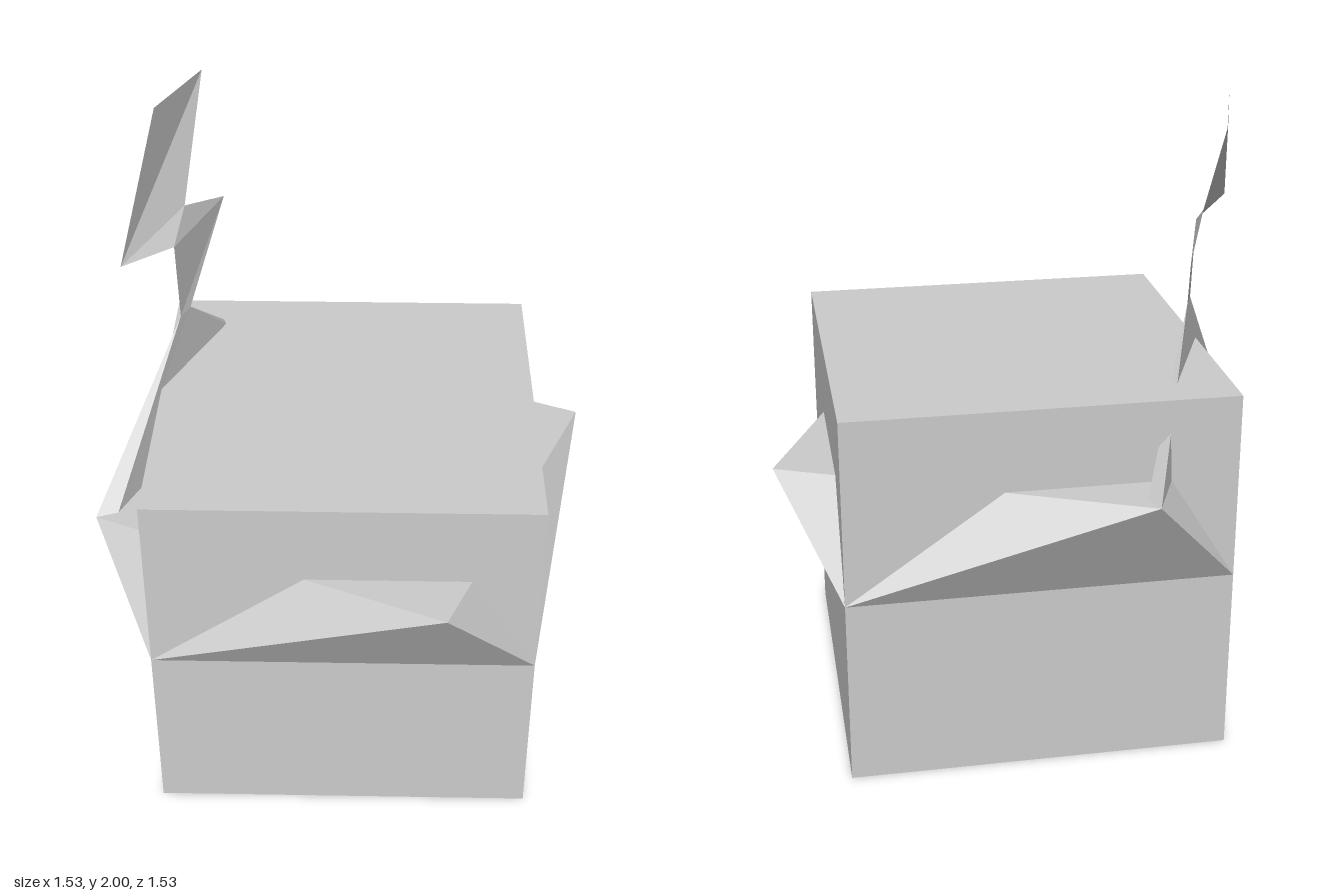
import * as THREE from 'three';

const solidMat = new THREE.MeshStandardMaterial({ color: 0xcccccc, flatShading: true });
const sheetMat = new THREE.MeshStandardMaterial({ color: 0xcccccc, flatShading: true, side: THREE.DoubleSide });

// Faces are lists of corner points, counter-clockwise from outside
function facetMesh(name, faces) {
  const pos = [];
  for (const f of faces)
    for (let i = 1; i < f.length - 1; i++) pos.push(...f[0], ...f[i], ...f[i + 1]);
  const geo = new THREE.BufferGeometry();
  geo.setAttribute('position', new THREE.Float32BufferAttribute(pos, 3));
  geo.computeVertexNormals();
  const mesh = new THREE.Mesh(geo, sheetMat);
  mesh.name = name;
  return mesh;
}

// Quarter turns about the vertical axis: front, right, back, left
function quarterTurns([x, y, z]) {
  return [[x, y, z], [z, y, -x], [-x, y, -z], [-z, y, x]];
}

export function createModel() {
  const group = new THREE.Group();
  const size = 1.17;

  // Cube body
  const body = new THREE.Mesh(new THREE.BoxGeometry(size, size, size), solidMat);
  body.name = 'body';
  body.position.y = size / 2;
  group.add(body);

  // Twisted collar flaring out of the body's middle, with a flat top
  const low = quarterTurns([-size / 2, 0.588, size / 2]);
  const high = quarterTurns([0.303, 0.918, 0.765]);
  const faces = [high];
  for (let i = 0; i < 4; i++) {
    const next = (i + 1) % 4, prev = (i + 3) % 4;
    faces.push([low[i], low[next], high[i]], [low[i], high[i], high[prev]]);
  }
  group.add(facetMesh('twistedCollar', faces));

  // Tail root: a wedge from one collar edge up to a narrow neck
  const [, , backTip, leftTip] = high;
  const backIn = [-0.28, 0.918, -0.70], leftIn = [-0.70, 0.918, 0.278];
  const neckFront = [-0.53, 1.345, -0.19], neckBack = [-0.505, 1.345, -0.25];
  group.add(facetMesh('tailRoot', [
    [backTip, leftTip, neckFront, neckBack],
    [leftIn, backIn, neckBack, neckFront],
    [leftTip, leftIn, neckFront],
    [backIn, backTip, neckBack],
  ]));

  // Thin zigzag tail: pairs of front and back edge points going up
  const rows = [
    [neckFront, neckBack],
    [[-0.537, 1.59, -0.195], [-0.415, 1.575, -0.572]],
    [[-0.677, 1.617, -0.02], [-0.515, 1.66, -0.338]],
    [[-0.585, 2.0, -0.308], [-0.475, 1.977, -0.658]],
  ];
  const strips = [];
  for (let i = 0; i < rows.length - 1; i++) {
    const [a, b] = rows[i], [c, d] = rows[i + 1];
    strips.push([a, c, d, b]);
  }
  group.add(facetMesh('zigzagTail', strips));

  return group;
}
